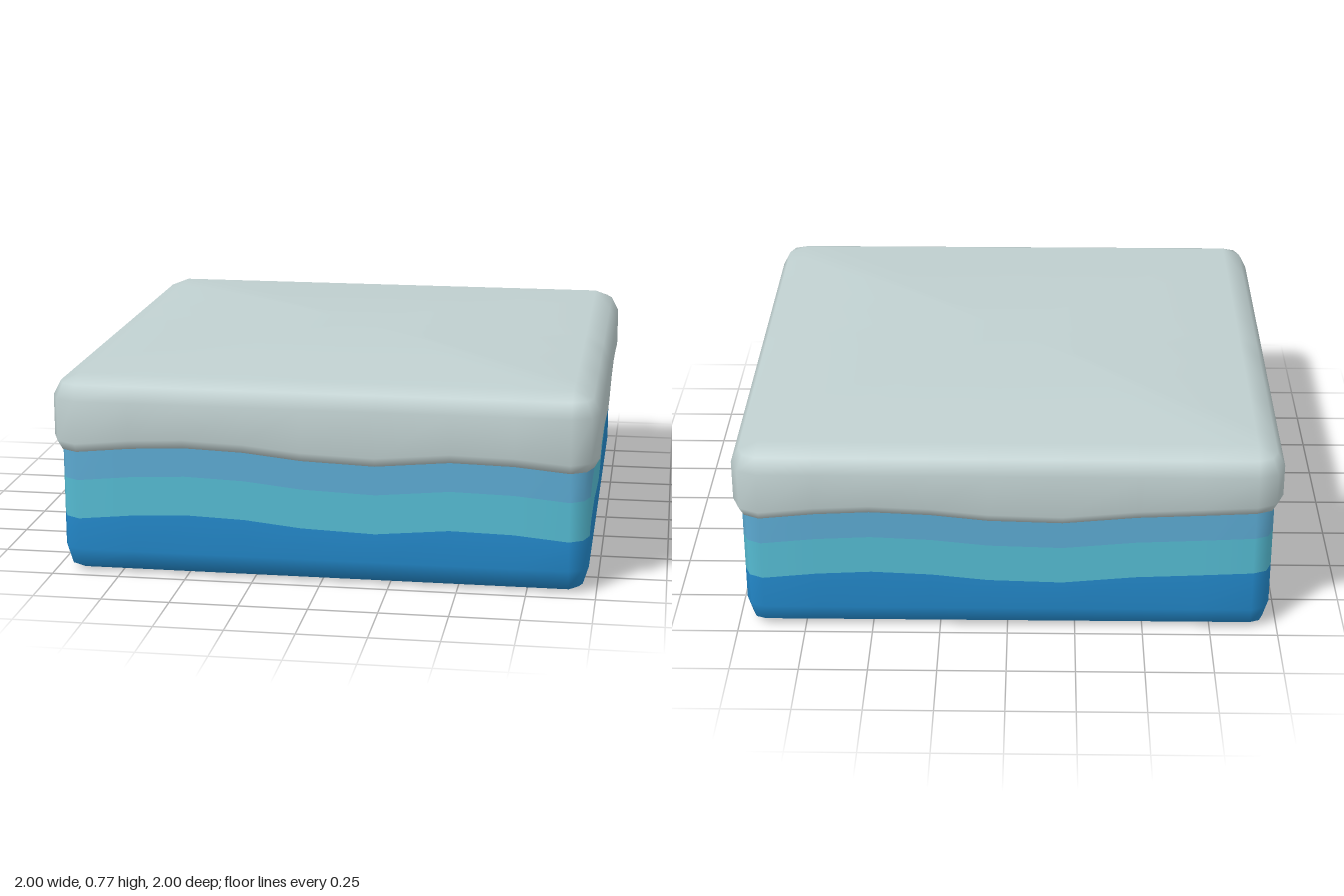
import * as THREE from 'three';
import { mergeVertices } from 'three/addons/utils/BufferGeometryUtils.js';

const CORE = 0.9; // distance from the middle to the centre of the rounded corners

// Height of the snow line along each side: [position, height], left to right seen from outside
const SIDES = [
  // front
  [[-0.9, 0.465], [-0.7, 0.485], [-0.5, 0.495], [-0.28, 0.487], [-0.07, 0.465], [0.2, 0.455], [0.47, 0.48], [0.7, 0.475], [0.9, 0.457]],
  // right
  [[-0.9, 0.463], [-0.78, 0.488], [-0.52, 0.49], [-0.33, 0.467], [-0.12, 0.445], [0, 0.455], [0.2, 0.495], [0.43, 0.51], [0.67, 0.5], [0.9, 0.475]],
  // back
  [[-0.9, 0.47], [-0.7, 0.49], [-0.5, 0.5], [-0.28, 0.49], [-0.07, 0.468], [0.2, 0.46], [0.47, 0.485], [0.7, 0.495], [0.9, 0.505]],
  // left
  [[-0.9, 0.505], [-0.78, 0.503], [-0.52, 0.492], [-0.33, 0.467], [-0.12, 0.447], [0, 0.457], [0.2, 0.495], [0.43, 0.51], [0.67, 0.5], [0.9, 0.472]],
];

// One rounded-square ring; a wavy ring measures y from the snow line
function ring({ c = CORE, r = 0, y, wavy = false }) {
  const points = [];
  SIDES.forEach((side, k) => {
    const add = (t, n, w) => {
      const [x, z] = [[t, n], [n, -t], [-t, -n], [-n, t]][k];
      points.push([x, wavy ? w + y : y, z]);
    };
    side.forEach(([t, w]) => add((t * c) / CORE, c + r, w));
    const corner = c + r * Math.SQRT1_2;
    add(corner, corner, (side.at(-1)[1] + SIDES[(k + 1) % 4][0][1]) / 2);
  });
  return points;
}

// Skin between rings listed from the bottom up; "band" picks the material above a ring
function loft(profile) {
  const rings = profile.map(ring);
  const n = rings[0].length;
  const index = [];
  const geometry = new THREE.BufferGeometry();
  for (let i = 0; i < rings.length - 1; i++) {
    geometry.addGroup(index.length, n * 6, profile[i].band ?? 0);
    for (let j = 0; j < n; j++) {
      const a = i * n + j, b = i * n + ((j + 1) % n);
      index.push(a, b, b + n, a, b + n, a + n);
    }
  }
  geometry.setAttribute('position', new THREE.Float32BufferAttribute(rings.flat(2), 3));
  geometry.setIndex(index);
  const merged = mergeVertices(geometry, 1e-4);
  merged.computeVertexNormals();
  return merged;
}

function material(name, color) {
  const m = new THREE.MeshStandardMaterial({ color });
  m.name = name;
  return m;
}

export function createModel() {
  const group = new THREE.Group();
  group.name = 'snowyIceTile';

  const deepBlue = material('deepBlue', 0x2389cb);
  const turquoise = material('turquoise', 0x55bbd2);
  const paleBlue = material('paleBlue', 0x5caad2);
  const snow = material('snow', 0xc0d0d0);

  // Ice block with three wavy colour bands
  const ice = new THREE.Mesh(loft([
    { c: 0, y: 0 },
    { y: 0 },
    { r: 0.05, y: 0.025 },
    { r: 0.07, y: 0.09 },
    { r: 0.07, y: -0.257, wavy: true, band: 1 },
    { r: 0.07, y: -0.11, wavy: true, band: 2 },
    { r: 0.07, y: 0.03, wavy: true },
  ]), [deepBlue, turquoise, paleBlue]);
  ice.name = 'iceBlock';

  // Overhanging snow cap with a rolled lip and a slightly domed top
  const cap = new THREE.Mesh(loft([
    { r: 0.055, y: 0.01, wavy: true },
    { r: 0.08, y: 0, wavy: true },
    { r: 0.1, y: 0.035, wavy: true },
    { r: 0.1, y: 0.66 },
    { r: 0.071, y: 0.715 },
    { r: 0, y: 0.743 },
    { c: 0.3, y: 0.77 },
    { c: 0, y: 0.77 },
  ]), [snow]);
  cap.name = 'snowCap';

  group.add(ice, cap);
  return group;
}
